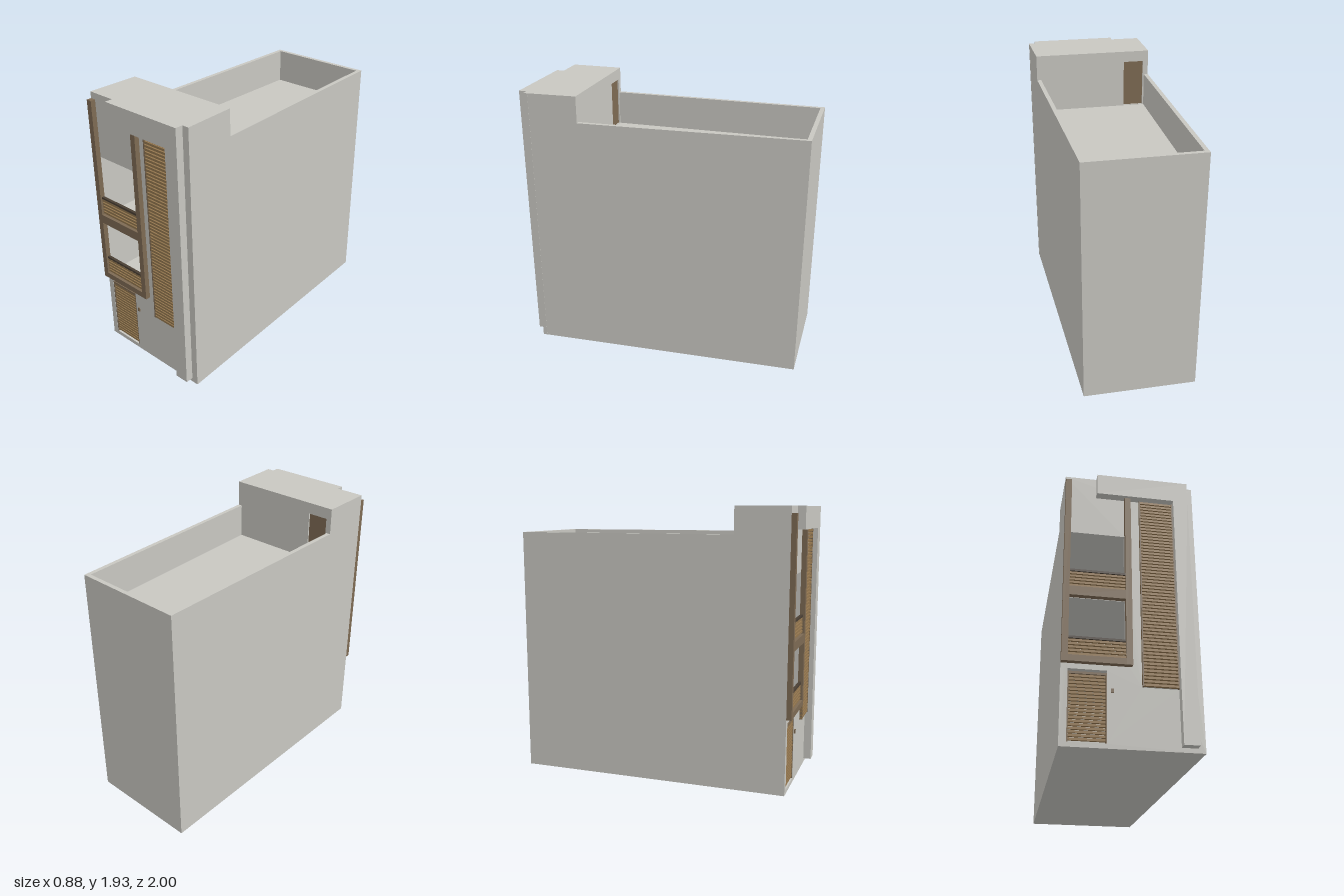
import * as THREE from 'three';

const mat = (name, color) => Object.assign(new THREE.MeshStandardMaterial({ color }), { name });

export function createModel() {
  const model = new THREE.Group();
  const plaster = mat('plaster', 0xc8c7c1);
  const brown = mat('brown cladding', 0x7d6a53);
  const wood = mat('wood slat', 0x94774f);
  const dark = mat('dark rail', 0x4a3f34);

  const add = (name, geometry, material, parent = model) => {
    const mesh = new THREE.Mesh(geometry, material);
    mesh.name = name;
    parent.add(mesh);
    return mesh;
  };
  // box given by its min and max corners
  const box = (name, material, x0, x1, y0, y1, z0, z1, parent) => {
    const m = add(name, new THREE.BoxGeometry(x1 - x0, y1 - y0, z1 - z0), material, parent);
    m.position.set((x0 + x1) / 2, (y0 + y1) / 2, (z0 + z1) / 2);
    return m;
  };
  // vertical prism from a plan outline of [x, z] points
  const prism = (name, pts, y0, y1, material = plaster) => {
    const shape = new THREE.Shape(pts.map(([x, z]) => new THREE.Vector2(x, -z)));
    const g = new THREE.ExtrudeGeometry(shape, { depth: y1 - y0, bevelEnabled: false });
    g.rotateX(-Math.PI / 2).translate(0, y0, 0);
    return add(name, g, material);
  };
  const rect = (C, x0, x1, y0, y1) => new C().moveTo(x0, y0).lineTo(x1, y0).lineTo(x1, y1).lineTo(x0, y1).closePath();
  // upright wall with rectangular openings
  const wall = (name, outer, holes, z0, z1) => {
    const shape = rect(THREE.Shape, ...outer);
    shape.holes = holes.map(h => rect(THREE.Path, ...h));
    const g = new THREE.ExtrudeGeometry(shape, { depth: z1 - z0, bevelEnabled: false });
    return add(name, g.translate(0, 0, z0), plaster);
  };
  // evenly spaced horizontal slats
  const slats = (name, material, x0, x1, y0, y1, z0, z1, count, fill) => {
    const group = new THREE.Group();
    group.name = name;
    model.add(group);
    const pitch = (y1 - y0) / count;
    for (let i = 0; i < count; i++) {
      const y = y0 + pitch * (i + (1 - fill) / 2);
      box('slat', material, x0, x1, y, y + pitch * fill, z0, z1, group);
    }
  };

  // tapering plan: the +x side closes in toward the back
  const L = -0.44, T = 0.03, ZF = 0.945, ZI = 0.915;
  const R = z => 0.438 - (ZF - z) * 0.0455;
  const plan = (z0, z1, inset = 0) => [[L + inset, z0], [L + inset, z1], [R(z1) - inset, z1], [R(z0) - inset, z0]];

  // side and back walls rising to the roof parapet
  prism('sideAndBackWalls', [
    [L, -1], [L, ZI], [L + T, ZI], [L + T, -1 + T],
    [R(-1 + T) - T, -1 + T], [R(ZI) - T, ZI], [R(ZI), ZI], [R(-1), -1],
  ], 0, 1.745);

  // floors and roof deck
  prism('groundFloor', plan(-1 + T, ZI, T), 0, 0.03);
  prism('firstFloor', plan(-1 + T, ZI, T), 0.51, 0.56);
  prism('secondFloor', plan(-1 + T, ZI, T), 0.985, 1.04);
  prism('roofDeck', plan(-1 + T, ZI, T), 1.48, 1.5);

  // front wall with gate, balcony and screen openings
  const gate = [-0.395, -0.155, 0.03, 0.495];
  const screen = [0.06, 0.29, 0.4, 1.77];
  const balconies = [[0.57, 0.985], [1.05, 1.48]];
  wall('frontWall', [L, R(ZF), 0, 1.93],
    [gate, screen, ...balconies.map(([a, b]) => [-0.4, -0.04, a, b])], ZI, ZF);

  // stair tower above the roof
  prism('towerLeftWall', [[L, 0.57], [L, ZI], [L + T, ZI], [L + T, 0.57]], 1.745, 1.87);
  prism('towerRightWall', [[R(0.57) - T, 0.57], [R(ZI) - T, ZI], [R(ZI), ZI], [R(0.57), 0.57]], 1.745, 1.87);
  prism('towerRoof', plan(0.57, ZI), 1.87, 1.93);
  wall('towerBackWall', [L + T, R(0.57) - T, 1.5, 1.87], [[-0.4, -0.25, 1.505, 1.85]], 0.57, 0.6);
  box('roofDoor', brown, -0.4, -0.25, 1.505, 1.85, 0.58, 0.59);

  // projecting plaster portal
  box('portalHead', plaster, -0.23, 0.39, 1.775, 1.93, ZF, 1);
  box('portalLeg', plaster, 0.29, 0.39, 0.03, 1.775, ZF, 1);

  // brown balcony frame
  box('frameLeftPost', brown, L, -0.4, 0.53, 1.885, ZF, 0.98);
  box('frameRightPost', brown, -0.04, 0, 0.53, 1.775, ZF, 0.98);
  box('frameSill', brown, -0.4, -0.04, 0.53, 0.572, ZF, 0.98);
  box('frameMiddleBar', brown, -0.4, -0.04, 0.988, 1.052, ZF, 0.98);

  // inner wall behind the balconies
  box('innerWall', plaster, L + T, R(0.33) - T, 0.03, 1.48, 0.32, 0.35);

  for (const [y0, y1] of balconies) {
    // balcony railing
    slats('balconyRailing', wood, -0.4, -0.04, y0 + 0.005, y0 + 0.12, 0.95, 0.965, 5, 0.65);
    box('railingTop', dark, -0.4, -0.04, y0 + 0.12, y0 + 0.135, 0.948, 0.968);
    // pair of inner doors
    for (const [x0, x1] of [[-0.4, -0.255], [-0.22, -0.045]]) {
      box('innerDoorFrame', dark, x0, x1, y0 - 0.01, y1 - 0.015, 0.35, 0.355);
      box('innerDoor', brown, x0 + 0.006, x1 - 0.006, y0 - 0.01, y1 - 0.022, 0.354, 0.359);
    }
    // stair handrails and posts
    const rail = box('stairHandrail', dark, -0.085, 0.085, -0.005, 0.005, 0.5, 0.51);
    rail.position.set(-0.085, y0 + 0.18, 0.505);
    rail.rotation.z = 0.53;
    box('stairPost', dark, -0.14, -0.132, y0 - 0.01, y0 + 0.15, 0.5, 0.51);
    for (const x of [0.13, 0.22]) box('stairPost', dark, x, x + 0.008, y0 + 0.1, y0 + 0.38, 0.5, 0.51);
    const upper = box('stairHandrail', dark, -0.085, 0.085, -0.005, 0.005, 0.5, 0.51);
    upper.position.set(0.15, y0 + 0.34, 0.505);
    upper.rotation.z = 0.53;
  }

  // tall slatted screen
  slats('slatScreen', wood, 0.06, 0.29, 0.4, 1.77, 0.945, 0.965, 58, 0.66);
  for (const x of [0.06, 0.282]) box('screenUpright', brown, x, x + 0.008, 0.4, 1.77, 0.94, 0.966);

  // slatted entrance gate
  slats('entranceGate', wood, -0.388, -0.162, 0.04, 0.465, 0.925, 0.94, 19, 0.68);
  for (const x of [-0.395, -0.163]) box('gatePost', brown, x, x + 0.008, 0.03, 0.48, 0.92, 0.943);
  box('gateTop', brown, -0.395, -0.155, 0.465, 0.48, 0.92, 0.943);
  box('doorbell', brown, -0.133, -0.116, 0.35, 0.378, ZF, 0.953);

  return model;
}
